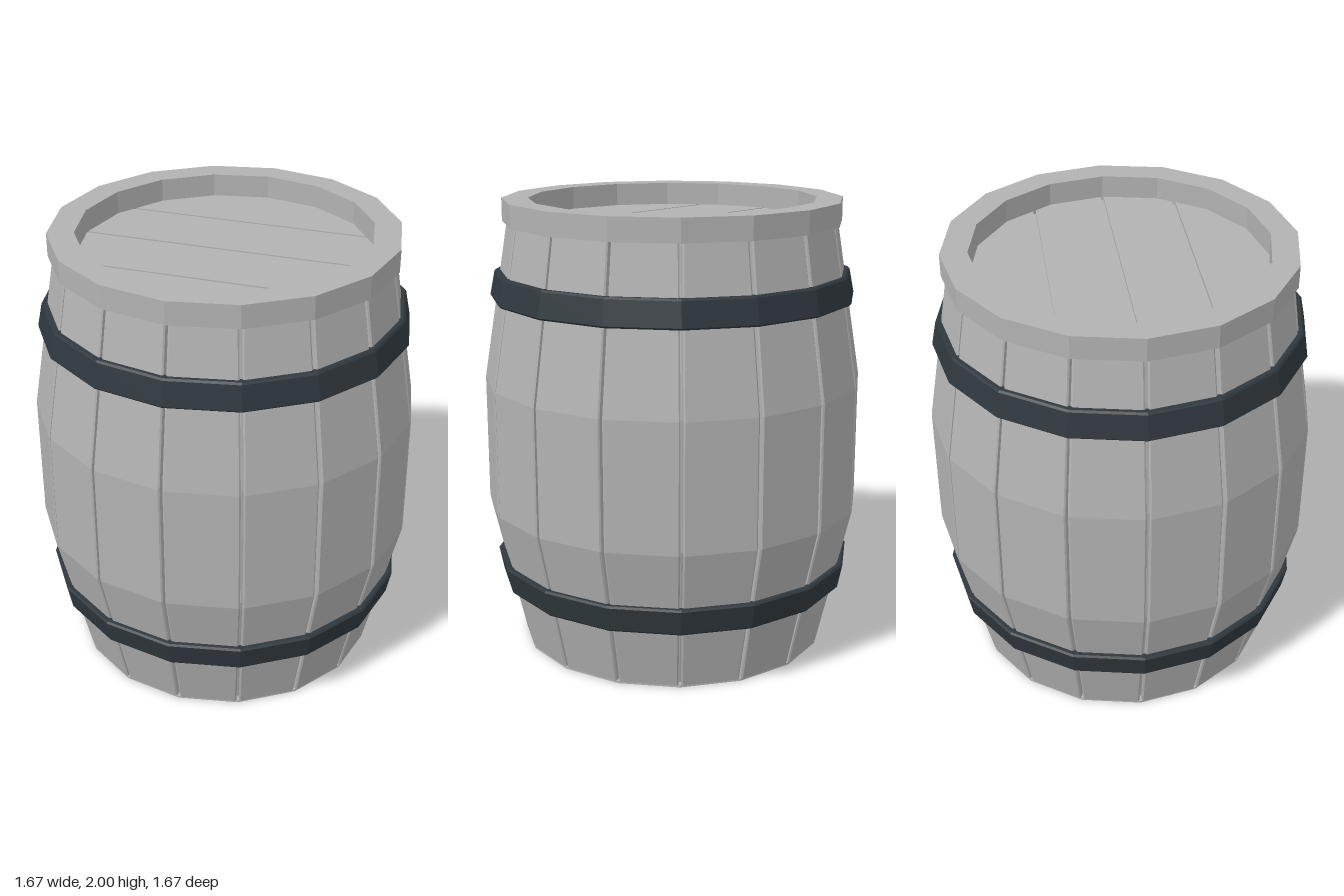
import * as THREE from 'three';

const SIDES = 16;
const wood = new THREE.MeshStandardMaterial({ color: 0xb2b2b2 });
wood.name = 'greyWood';
const iron = new THREE.MeshStandardMaterial({ color: 0x30383e });
iron.name = 'darkIron';

// Give every facet its own flat normal
function facet(geometry) {
  const g = geometry.index ? geometry.toNonIndexed() : geometry;
  g.computeVertexNormals();
  return g;
}

function part(name, geometry, material) {
  const mesh = new THREE.Mesh(facet(geometry), material);
  mesh.name = name;
  return mesh;
}

// Sixteen-sided turned piece from [radius, y] pairs, counterclockwise
function turned(profile) {
  return new THREE.LatheGeometry(profile.map(([r, y]) => new THREE.Vector2(r, y)), SIDES);
}

// Corner radius of the barrel at each bend
const BELLY = [[0.69, 0.008], [0.84, 0.65], [0.84, 1.21], [0.725, 1.91]];

// One bent plank centred on +z, with a narrow gap on either side
function staveGeometry() {
  const half = Math.PI / SIDES, gap = 0.007, bevel = 0.006, depth = 0.045;
  const positions = [], index = [];
  for (const [r, y] of BELLY) {
    const z = r * Math.cos(half), x = r * Math.sin(half) - gap;
    const inner = x - depth * Math.tan(half);
    positions.push(
      -x + bevel, y, z, x - bevel, y, z, x, y, z - bevel,
      inner, y, z - depth, -inner, y, z - depth, -x, y, z - bevel);
  }
  const n = 6, last = (BELLY.length - 1) * n;
  for (let k = 0; k < last; k += n) {
    for (let i = 0; i < n; i++) {
      const a = k + i, b = k + (i + 1) % n;
      index.push(a, b, b + n, a, b + n, a + n);
    }
  }
  for (let i = 1; i < n - 1; i++) {
    index.push(0, i + 1, i, last, last + i, last + i + 1);
  }
  const g = new THREE.BufferGeometry();
  g.setAttribute('position', new THREE.Float32BufferAttribute(positions, 3));
  g.setIndex(index);
  return g;
}

// Lid board: slice of a disc between two z values, top at y = 1.9
function lidBoard(z0, z1) {
  const R = 0.64, steps = 8, points = [];
  for (let i = 0; i <= steps; i++) {
    const z = z0 + (z1 - z0) * i / steps;
    points.push(new THREE.Vector2(Math.sqrt(Math.max(0, R * R - z * z)), z));
  }
  for (let i = steps; i >= 0; i--) {
    if (points[i].x > 0.001) points.push(new THREE.Vector2(-points[i].x, points[i].y));
  }
  const g = new THREE.ExtrudeGeometry(new THREE.Shape(points), { depth: 0.02, bevelEnabled: false });
  g.rotateX(Math.PI / 2);
  g.translate(0, 1.9, 0);
  return g;
}

// Tapered iron band with slightly bevelled edges
function hoop(y0, r0, y1, r1) {
  const t = 0.035, b = 0.008;
  return turned([
    [r0 - t, y0], [r0 - b, y0], [r0, y0 + b], [r1, y1 - b],
    [r1 - b, y1], [r1 - t, y1], [r0 - t, y0]]);
}

export function createModel() {
  const barrel = new THREE.Group();
  barrel.name = 'barrel';

  // Closed inner body behind the gaps, with the flat base
  barrel.add(part('innerBody', turned([
    [0, 0], [0.688, 0], [0.688, 0.01], [0.655, 0.01],
    [0.80, 0.65], [0.80, 1.21], [0.69, 1.885], [0, 1.885]]), wood));

  // Ring of staves
  const staves = new THREE.Group();
  staves.name = 'staves';
  const stave = staveGeometry();
  for (let i = 0; i < SIDES; i++) {
    const mesh = part('stave', stave, wood);
    mesh.rotation.y = (i + 0.5) * Math.PI * 2 / SIDES;
    staves.add(mesh);
  }
  barrel.add(staves);

  // Raised rim around the lid
  barrel.add(part('topRim', turned([
    [0.63, 1.885], [0.66, 1.885], [0.66, 1.9], [0.745, 1.9],
    [0.745, 2], [0.63, 2], [0.63, 1.885]]), wood));

  // Four lid boards separated by grooves
  const seams = [-0.64, -0.317, -0.003, 0.311, 0.64];
  for (let i = 0; i < 4; i++) {
    const g0 = i === 0 ? 0 : 0.006, g1 = i === 3 ? 0 : 0.006;
    barrel.add(part('lidBoard', lidBoard(seams[i] + g0, seams[i + 1] - g1), wood));
  }

  // Iron hoops
  barrel.add(part('lowerHoop', hoop(0.28, 0.785, 0.40, 0.806), iron));
  barrel.add(part('upperHoop', hoop(1.57, 0.806, 1.69, 0.785), iron));

  return barrel;
}
